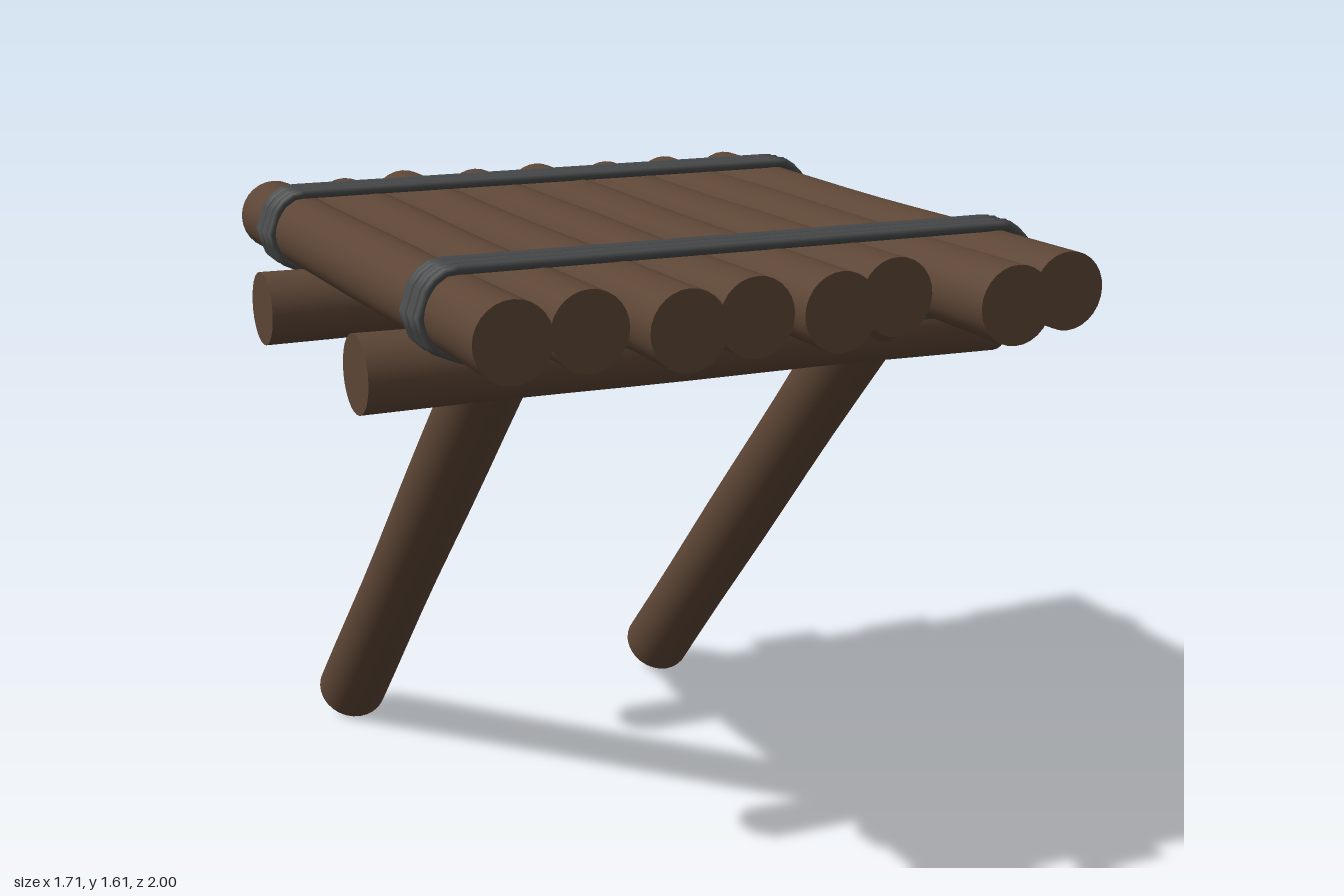
import * as THREE from 'three';

const wood = new THREE.MeshStandardMaterial({ color: 0x5c4535 });
const rope = new THREE.MeshStandardMaterial({ color: 0x48494a });

// Log between two points, slightly slimmer and uneven between its flared ends
function log(name, a, b, radius, seed) {
  const from = new THREE.Vector3(...a), to = new THREE.Vector3(...b);
  const dir = to.clone().sub(from), length = dir.length();
  const geo = new THREE.CylinderGeometry(radius, radius, length, 28, 10);
  const p = geo.attributes.position;
  for (let i = 0; i < p.count; i++) {
    const t = p.getY(i) / length + 0.5;
    const waist = Math.sin(Math.PI * t);
    const s = 1 - waist * (0.04 + 0.02 * Math.sin(t * 9 + seed * 2.3));
    p.setX(i, p.getX(i) * s);
    p.setZ(i, p.getZ(i) * s);
  }
  const mesh = new THREE.Mesh(geo, wood);
  mesh.name = name;
  mesh.position.copy(from).add(to).multiplyScalar(0.5);
  mesh.quaternion.setFromUnitVectors(new THREE.Vector3(0, 1, 0), dir.normalize());
  return mesh;
}

// One rope loop around the deck, angular at the ends
function ropeLoop(z, grow) {
  const half = [[0.72, 1.594], [0.765, 1.565], [0.79, 1.49], [0.765, 1.425], [0.69, 1.392]];
  const outline = [...half, ...half.map(([x, y]) => [-x, y]).reverse()];
  const points = outline.map(([x, y]) =>
    new THREE.Vector3(x * (1 + grow), 1.49 + (y - 1.49) * (1 + grow * 3), z));
  const path = new THREE.CatmullRomCurve3(points, true, 'catmullrom', 0);
  const mesh = new THREE.Mesh(new THREE.TubeGeometry(path, 110, 0.0125, 8, true), rope);
  mesh.name = 'ropeLoop';
  return mesh;
}

export function createModel() {
  const model = new THREE.Group();
  model.name = 'logPlatform';

  // Deck logs: x, back end, front end
  const deck = new THREE.Group();
  deck.name = 'deck';
  [
    [-0.69, -0.90, 0.90], [-0.5, -0.87, 0.865], [-0.303, -0.945, 0.945], [-0.108, -0.89, 0.88],
    [0.09, -0.915, 0.905], [0.288, -0.875, 0.805], [0.485, -0.9, 1.0], [0.686, -0.915, 0.905],
  ].forEach(([x, back, front], i) =>
    deck.add(log('deckLog', [x, 1.492, back], [x, 1.492, front], 0.093, i)));
  model.add(deck);

  // Cross beams under the deck
  model.add(log('frontBeam', [-0.86, 1.32, 0.335], [0.84, 1.32, 0.335], 0.095, 3));
  model.add(log('backBeam', [-0.85, 1.32, -0.482], [0.85, 1.32, -0.482], 0.095, 5));

  // Slanted legs running from the front beam down to the back
  for (const [name, x] of [['rightLeg', -0.507], ['leftLeg', 0.485]])
    model.add(log(name, [x, 0.07, -0.931], [x, 1.411, 0.404], 0.097, x));

  // Rope lashings
  for (const [name, z] of [['frontLashing', 0.535], ['backLashing', -0.635]]) {
    const lashing = new THREE.Group();
    lashing.name = name;
    for (let i = 0; i < 5; i++) lashing.add(ropeLoop(z + (i - 2) * 0.0245, 0.004 * (i % 2)));
    model.add(lashing);
  }
  return model;
}
